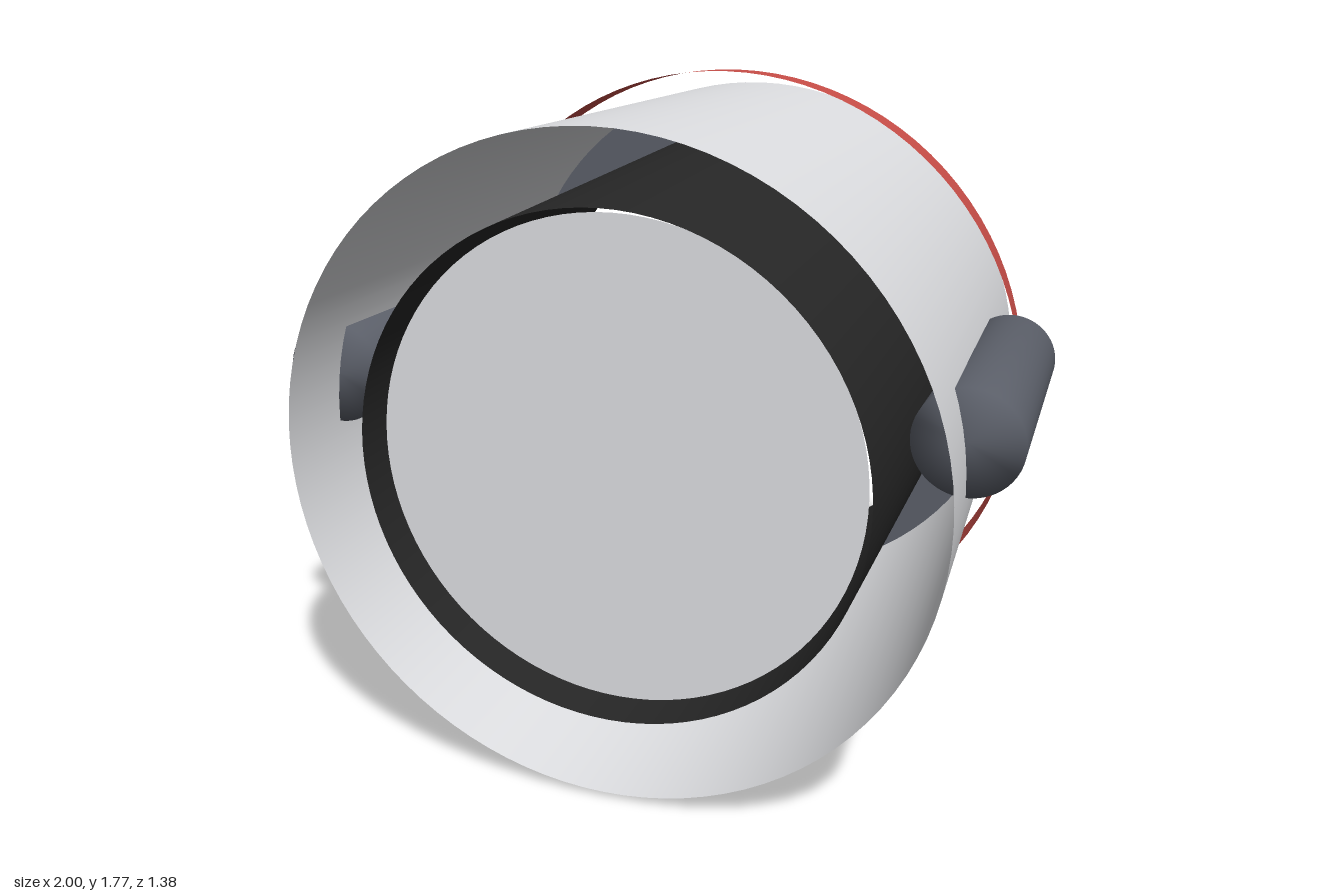
import * as THREE from 'three';
import { mergeVertices } from 'three/addons/utils/BufferGeometryUtils.js';

const CY = 0.887; // height of the engine axis

function material(name, color, side = THREE.FrontSide) {
  const m = new THREE.MeshStandardMaterial({ color, side });
  m.name = name;
  return m;
}

export function createModel() {
  const lightGrey = material('lightGrey', 0xe0e1e4, THREE.DoubleSide);
  const intakeGrey = material('intakeGrey', 0xdfe0e4);
  const slate = material('slate', 0x5c606a, THREE.DoubleSide);
  const charcoal = material('charcoal', 0x272727, THREE.DoubleSide);
  const red = material('red', 0xcb4f49, THREE.DoubleSide);

  const model = new THREE.Group();
  model.name = 'engineNacelle';

  const add = (name, geometry, mat, x = 0, y = CY, z = 0) => {
    const mesh = new THREE.Mesh(geometry, mat);
    mesh.name = name;
    mesh.position.set(x, y, z);
    model.add(mesh);
    return mesh;
  };

  // Round section running along z from back to front
  const tube = (rFront, rBack, zBack, zFront, open = true, sides = 96) =>
    new THREE.CylinderGeometry(rFront, rBack, zFront - zBack, sides, 1, open)
      .rotateX(Math.PI / 2)
      .translate(0, 0, (zFront + zBack) / 2);

  // Outer shell, inner duct and the rim that joins them at the back
  add('outerShell', tube(0.872, 0.815, -0.688, 0.688), lightGrey);
  add('innerDuct', tube(0.677, 0.677, -0.688, 0.65), charcoal);
  add('exhaustRim', new THREE.RingGeometry(0.677, 0.815, 96).rotateY(Math.PI), slate, 0, CY, -0.688);

  // Intake face, seen only from the front
  add('intakeDisc', new THREE.CircleGeometry(0.651, 96), intakeGrey, 0, CY, 0.57);

  // Loose band around the rear of the shell
  add('redBand', tube(0.887, 0.88, -0.44, -0.328), red);

  // Hub with a domed tail, held by four thin struts
  add('hubBody', tube(0.203, 0.203, -0.39, -0.23, false, 48), charcoal);
  add('hubDome', new THREE.SphereGeometry(0.203, 48, 24), charcoal, 0, CY, -0.39);
  for (let i = 0; i < 4; i++) {
    const strut = new THREE.BoxGeometry(0.02, 0.5, 0.115).translate(0, 0.41, 0);
    add('strut', strut.rotateZ((i * Math.PI) / 2), charcoal, 0, CY, -0.37);
  }

  // Side pods, with normals blended softly over the ends
  for (const side of [1, -1]) {
    let pod = tube(0.14, 0.125, -0.28, 0.457, false, 48);
    pod.deleteAttribute('normal');
    pod.deleteAttribute('uv');
    pod = mergeVertices(pod);
    pod.computeVertexNormals();
    add(side > 0 ? 'leftPod' : 'rightPod', pod, slate, side * 0.86, 1.016, 0);
  }

  return model;
}
